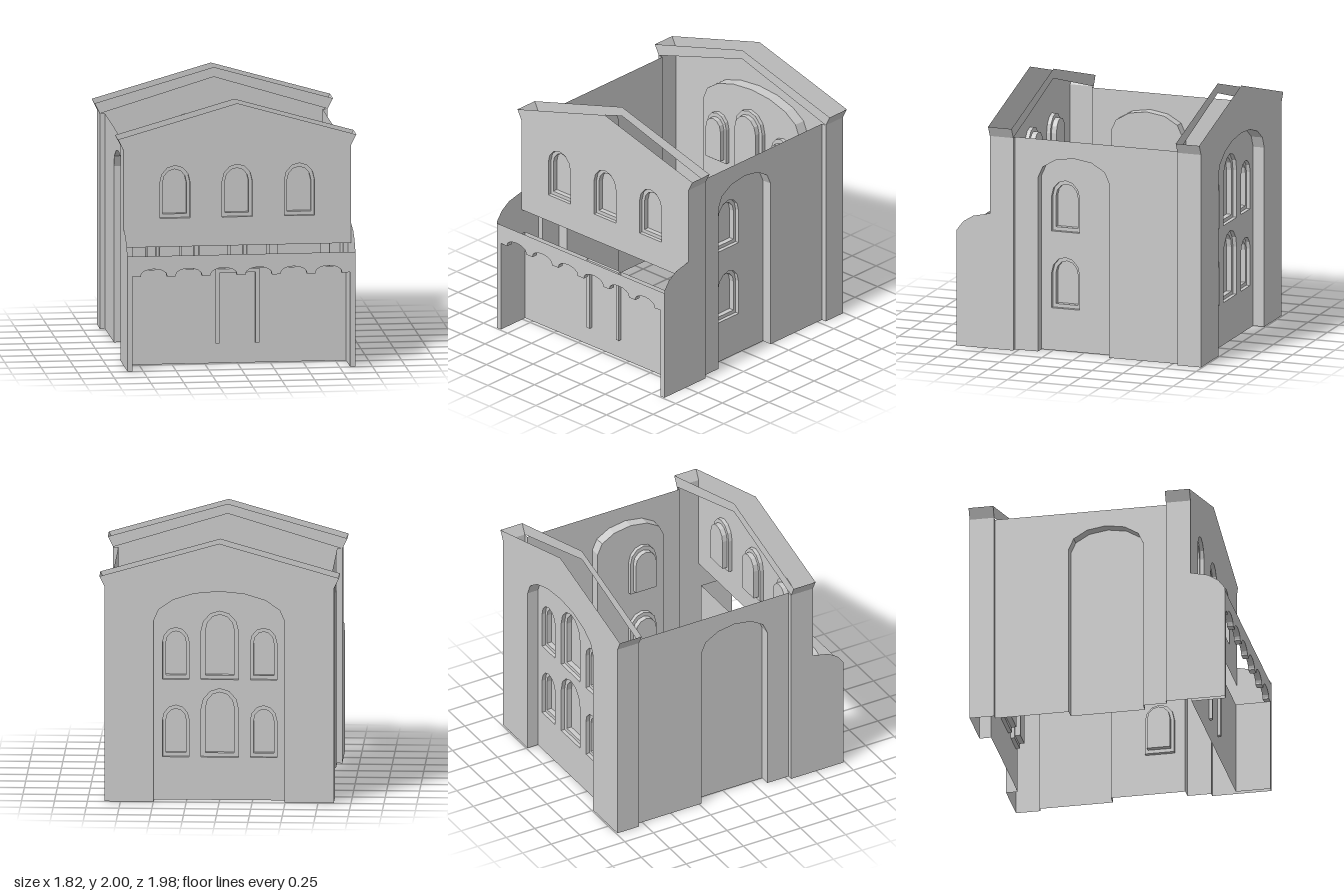
import * as THREE from 'three';

const mat = new THREE.MeshStandardMaterial({ color: 0xcccccc, flatShading: true, side: THREE.DoubleSide });

const V = (pts) => pts.map(([x, y]) => new THREE.Vector2(x, y));

// Arched outline, from the lower right corner up and over to the lower left
function arch(cx, half, bottom, spring, rise, segments = 6) {
  const pts = [[cx + half, bottom]];
  for (let i = 0; i <= segments; i++) {
    const a = (Math.PI * i) / segments;
    pts.push([cx + half * Math.cos(a), spring + rise * Math.sin(a)]);
  }
  pts.push([cx - half, bottom]);
  return pts;
}

function add(parent, name, geometry) {
  const mesh = new THREE.Mesh(geometry, mat);
  mesh.name = name;
  parent.add(mesh);
  return mesh;
}

// Flat sheet at a given depth, with holes
function sheet(parent, name, pts, z, holes = []) {
  const shape = new THREE.Shape(V(pts));
  holes.forEach((h) => shape.holes.push(new THREE.Path(V(h))));
  add(parent, name, new THREE.ShapeGeometry(shape).translate(0, 0, z));
}

// Strip that runs along an outline between two depths
function reveal(parent, name, pts, z0, z1, closed = true) {
  const pos = [];
  const n = closed ? pts.length : pts.length - 1;
  for (let i = 0; i < n; i++) {
    const [ax, ay] = pts[i];
    const [bx, by] = pts[(i + 1) % pts.length];
    pos.push(ax, ay, z0, bx, by, z0, bx, by, z1, ax, ay, z0, bx, by, z1, ax, ay, z1);
  }
  const g = new THREE.BufferGeometry();
  g.setAttribute('position', new THREE.Float32BufferAttribute(pos, 3));
  g.computeVertexNormals();
  add(parent, name, g);
}

// Stepped, recessed blind window; returns the hole to cut in its wall
function archWindow(parent, cx, bottom, half, height, z, inset = 0.024) {
  const rise = half * 1.13;
  const outer = arch(cx, half, bottom, bottom + height - rise, rise);
  const h = half - inset;
  const inner = arch(cx, h, bottom + 0.028, bottom + height - 0.033 - h * 1.13, h * 1.13);
  const win = new THREE.Group();
  win.name = 'archedWindow';
  parent.add(win);
  reveal(win, 'outerReveal', outer, z, z - 0.03);
  sheet(win, 'windowStep', outer, z - 0.03, [inner]);
  reveal(win, 'innerReveal', inner, z - 0.03, z - 0.07);
  sheet(win, 'windowPane', inner, z - 0.07);
  return outer;
}

// Tall niche standing on the ground
function niche(parent, path, z, depth, holes) {
  reveal(parent, 'nicheReveal', path, z, z - depth, false);
  sheet(parent, 'nicheBack', path, z - depth, holes);
}

const gableTop = [[0.87, 1.66], [0.91, 1.74], [0, 2], [-0.91, 1.74], [-0.87, 1.66]];
const copingBand = [...gableTop, [0, 1.925]];

function frontFacade() {
  const g = new THREE.Group();
  g.name = 'frontFacade';
  // Upper gable wall with three windows
  const holes = [-0.475, 0, 0.475].map((x) => archWindow(g, x, 1.125, 0.115, 0.405, 0.72));
  sheet(g, 'upperFrontWall', [[-0.87, 0.905], [0.87, 0.905], ...gableTop], 0.72, holes);
  sheet(g, 'frontCopingBack', copingBand, 0.53);
  // Lower wall behind the porch
  sheet(g, 'lowerFrontWall', [[-0.83, 0], [0.83, 0], [0.83, 0.73], [-0.83, 0.73]], 0.72);
  // Door surround
  const door = new THREE.Shape(V([
    [-0.167, 0.155], [-0.137, 0.155], [-0.137, 0.7], [0.137, 0.7],
    [0.137, 0.155], [0.167, 0.155], [0.167, 0.73], [-0.167, 0.73],
  ]));
  add(g, 'doorFrame', new THREE.ExtrudeGeometry(door, { depth: 0.025, bevelEnabled: false }).translate(0, 0, 0.72));
  // Porch front with a scalloped lower edge
  const scallops = [[0.83, 0.73]];
  for (let i = 0; i < 6; i++) {
    scallops.push(...arch(0.667 - i * 0.267, 0.1, 0.725, 0.735, 0.05, 8));
  }
  scallops.push([-0.83, 0.73]);
  sheet(g, 'porchFascia', [
    [-0.87, 0], [-0.83, 0], ...scallops.slice().reverse(), [0.83, 0], [0.87, 0], [0.87, 0.885], [-0.87, 0.885],
  ], 0.988);
  reveal(g, 'scallopSoffit', scallops, 0.988, 0.94, false);
  return g;
}

function backFacade() {
  const g = new THREE.Group();
  g.name = 'backFacade';
  const path = arch(0, 0.497, 0, 1.4, 0.23, 8);
  sheet(g, 'backWall', [[-0.87, 0], ...path.slice().reverse(), [0.87, 0], ...gableTop], 0.99);
  // Two rows of three windows inside the niche
  const holes = [];
  for (const y of [0.33, 0.93]) {
    holes.push(archWindow(g, 0, y, 0.142, 0.53, 0.9, 0.033));
    for (const x of [-0.333, 0.333]) holes.push(archWindow(g, x, y, 0.1, 0.4, 0.9));
  }
  niche(g, path, 0.99, 0.09, holes);
  sheet(g, 'backCopingBack', copingBand, 0.8);
  g.rotation.y = Math.PI;
  return g;
}

// s = 1 for the +x side, -1 for the -x side
function sideFacade(s) {
  const g = new THREE.Group();
  g.name = s > 0 ? 'leftSide' : 'rightSide';
  const flip = (pts) => pts.map(([z, y]) => [-s * z, y]);
  // Recessed middle wall with its tall niche
  const path = arch(0.057, 0.288, 0, 1.36, 0.17);
  sheet(g, 'sideWall', flip([
    [-0.8, 0], ...path.slice().reverse(), [0.53, 0], [0.53, 1.66], [-0.8, 1.66],
  ]), 0.83);
  const holes = s > 0 ? [0.33, 0.93].map((y) => archWindow(g, -0.152, y, 0.113, 0.4, 0.75)) : [];
  niche(g, flip(path), 0.83, 0.08, holes);
  // Corner piers; the front one widens into the porch wing
  sheet(g, 'backPier', flip([[-0.99, 0], [-0.8, 0], [-0.8, 1.66], [-0.99, 1.66]]), 0.87);
  sheet(g, 'frontPierAndWing', flip([
    [0.53, 0], [0.988, 0], [0.988, 0.905], [0.935, 0.975], [0.855, 1.025], [0.72, 1.055], [0.72, 1.66], [0.53, 1.66],
  ]), 0.87);
  for (const z of [-0.8, 0.53]) reveal(g, 'pierReturn', flip([[z, 0], [z, 1.66]]), 0.83, 0.87, false);
  sheet(g, 'wingInnerFace', flip([[0.72, 0], [0.988, 0], [0.988, 0.73], [0.72, 0.73]]), 0.83);
  // Flared eaves at the pier heads
  for (const [z0, z1] of [[-0.99, -0.8], [0.53, 0.72]]) {
    const flare = new THREE.PlaneGeometry(z1 - z0, 0.08);
    const p = flare.attributes.position;
    for (let i = 0; i < p.count; i++) p.setZ(i, p.getY(i) > 0 ? 0.91 : 0.87);
    add(g, 'flaredEave', flare.translate((-s * (z0 + z1)) / 2, 1.7, 0));
  }
  g.rotation.y = (s * Math.PI) / 2;
  return g;
}

export function createModel() {
  const model = new THREE.Group();
  model.name = 'building';
  model.add(frontFacade(), backFacade(), sideFacade(1), sideFacade(-1));
  return model;
}
